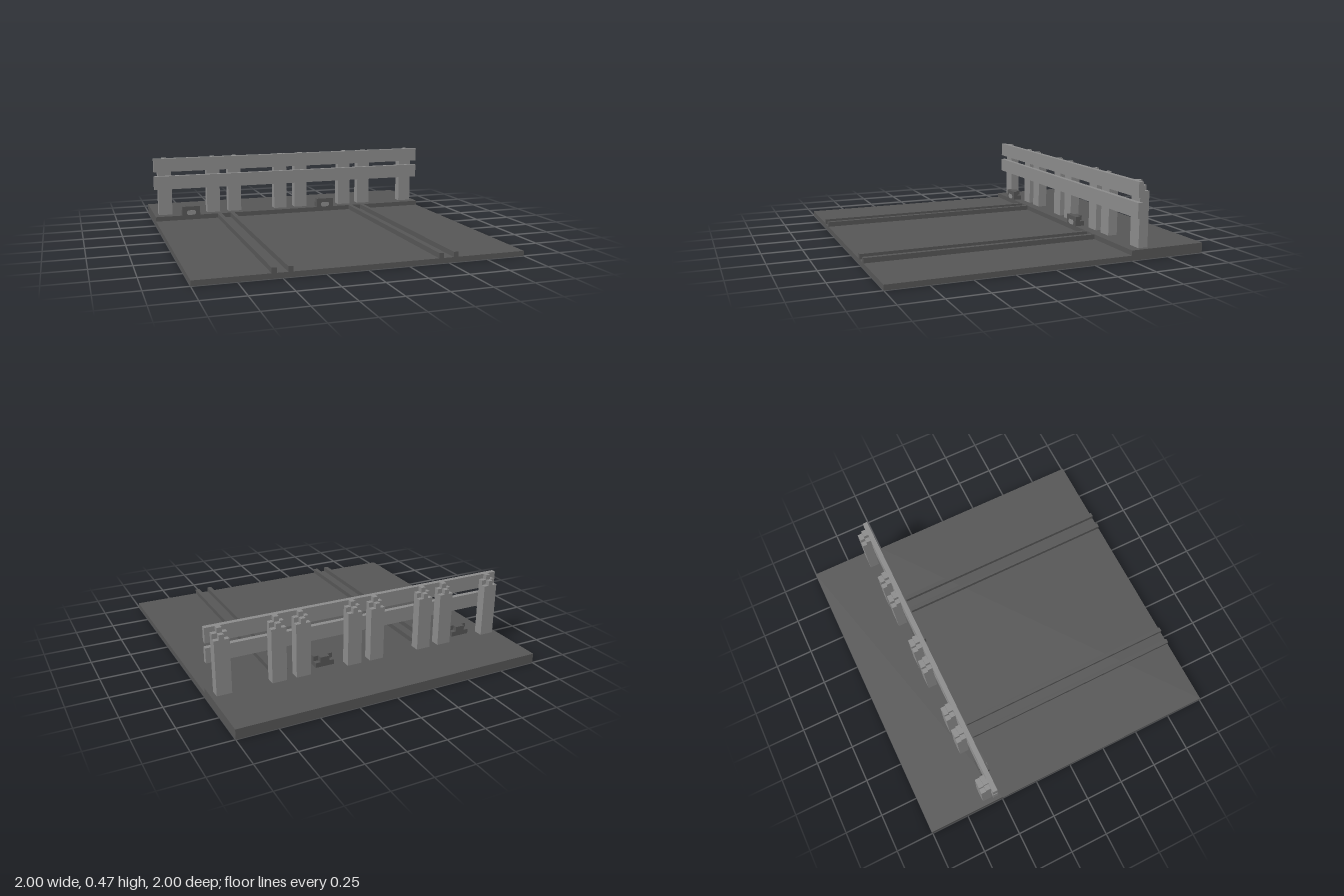
import * as THREE from 'three';

const U = 1 / 32; // module size of the block grid

export function createModel() {
  const root = new THREE.Group();
  root.name = 'railTrackEnd';
  const dark = new THREE.MeshStandardMaterial({ color: 0x555555 });
  dark.name = 'dark grey';
  const light = new THREE.MeshStandardMaterial({ color: 0x8a8a8a });
  light.name = 'light grey';

  // Box given by its lower and upper corners
  function box(parent, name, mat, x0, x1, y0, y1, z0, z1) {
    const mesh = new THREE.Mesh(new THREE.BoxGeometry(x1 - x0, y1 - y0, z1 - z0), mat);
    mesh.position.set((x0 + x1) / 2, (y0 + y1) / 2, (z0 + z1) / 2);
    mesh.name = name;
    parent.add(mesh);
  }

  // Ground slab and raised kerb
  box(root, 'groundSlab', dark, -1, 1, 0, U, -0.5, 1);
  box(root, 'raisedKerb', dark, -1, 1, 0, 2 * U, -1, -0.5);

  // Two pairs of grooved rails
  for (const x of [-0.5, 0.5]) {
    for (const s of [-1, 1]) {
      const c = x + s * 1.5 * U;
      box(root, 'rail', dark, c - 0.0145, c + 0.0145, U, 2 * U, -0.5, 1);
    }
  }

  // Fence posts with stepped tops
  for (const x of [-0.922, -0.578, -0.422, -0.078, 0.078, 0.422, 0.578, 0.922]) {
    const post = new THREE.Group();
    post.name = 'fencePost';
    post.position.x = x;
    root.add(post);
    box(post, 'postShaft', light, -1.5 * U, 1.5 * U, 2 * U, 13 * U, -20 * U, -18 * U);
    box(post, 'backTip', light, -U / 2, U / 2, 13 * U, 14 * U, -20 * U, -19 * U);
    box(post, 'frontStep', light, -1.5 * U, 1.5 * U, 13 * U, 14 * U, -19 * U, -18 * U);
    box(post, 'frontTip', light, -U / 2, U / 2, 14 * U, 15 * U, -19 * U, -18 * U);
  }

  // Two horizontal fence beams
  for (const y of [8, 12]) {
    box(root, 'fenceBeam', light, -1, 1, y * U, (y + 3) * U, -18 * U, -17 * U);
  }

  // Kerb lamps
  const lens = new THREE.Shape();
  lens.moveTo(-0.022, 0.002);
  lens.lineTo(0.022, 0.002);
  lens.lineTo(0.032, 0.012);
  lens.lineTo(0.032, 0.025);
  lens.lineTo(0.022, 0.035);
  lens.lineTo(-0.022, 0.035);
  lens.lineTo(-0.032, 0.025);
  lens.lineTo(-0.032, 0.012);
  lens.closePath();
  const lensGeometry = new THREE.ExtrudeGeometry(lens, { depth: 0.003, bevelEnabled: false });
  for (const x of [-0.75, 0.25]) {
    const lamp = new THREE.Group();
    lamp.name = 'kerbLamp';
    lamp.position.x = x;
    root.add(lamp);
    box(lamp, 'lampHousing', dark, -2 * U, 2 * U, 2 * U, 4 * U, -17 * U, -16 * U);
    box(lamp, 'lampBackBase', dark, -2 * U, 2 * U, 2 * U, 3 * U, -18 * U, -17 * U);
    box(lamp, 'lampBackTop', dark, -U, U, 3 * U, 4 * U, -18 * U, -17 * U);
    const plate = new THREE.Mesh(lensGeometry, light);
    plate.name = 'lampLens';
    plate.position.set(0, 2 * U, -0.501);
    lamp.add(plate);
  }
  return root;
}
